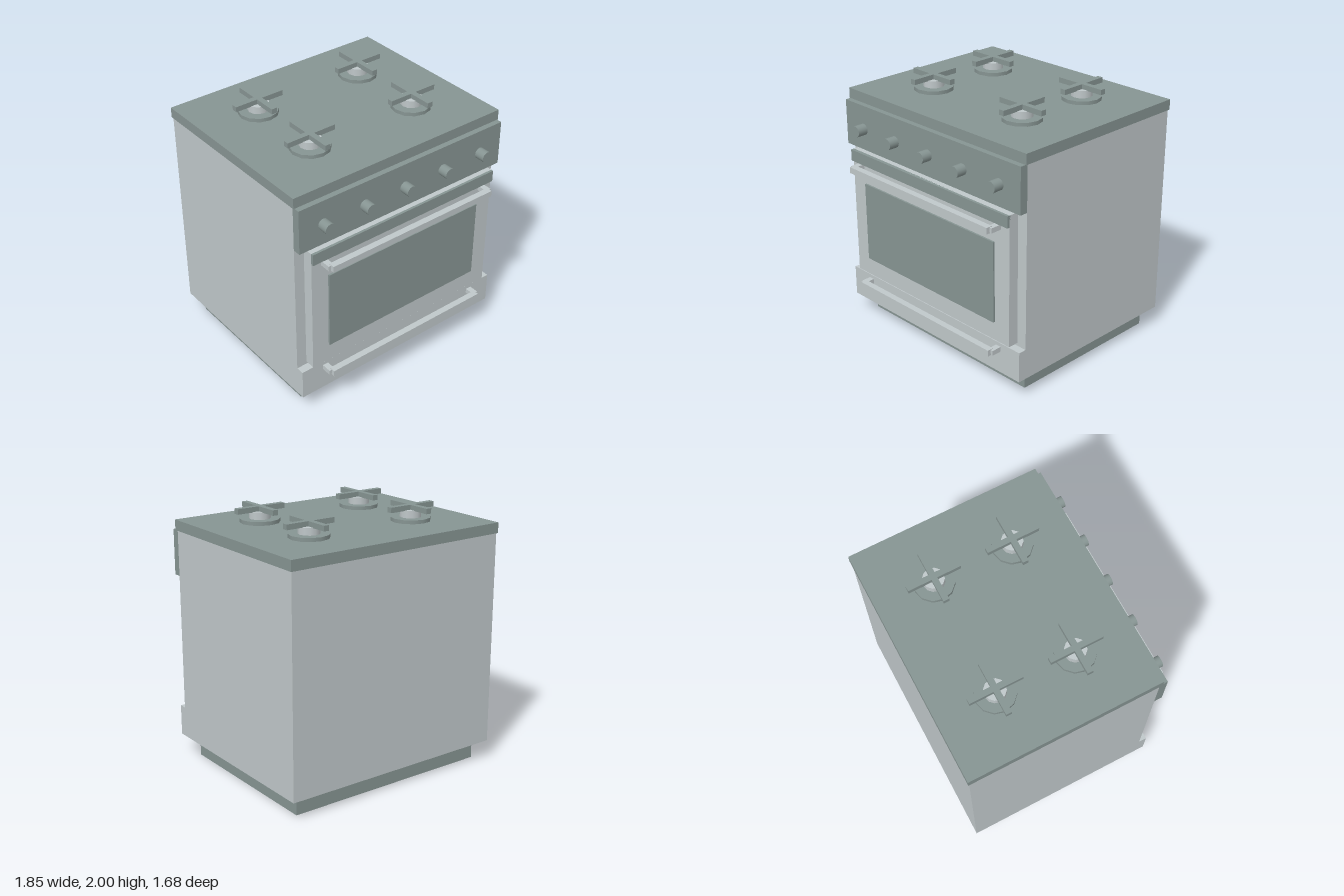
import * as THREE from 'three';

export function createModel() {
  const stove = new THREE.Group();
  stove.name = 'stove';

  const steel = new THREE.MeshStandardMaterial({ color: 0xbfc7c9 });
  steel.name = 'light steel';
  const enamel = new THREE.MeshStandardMaterial({ color: 0x869492 });
  enamel.name = 'dark enamel';

  function add(name, geometry, material, parent = stove) {
    const mesh = new THREE.Mesh(geometry, material);
    mesh.name = name;
    parent.add(mesh);
    return mesh;
  }

  // Box given by its limits on each axis
  function box(name, material, [x0, x1], [y0, y1], [z0, z1], parent) {
    const mesh = add(name, new THREE.BoxGeometry(x1 - x0, y1 - y0, z1 - z0), material, parent);
    mesh.position.set((x0 + x1) / 2, (y0 + y1) / 2, (z0 + z1) / 2);
    return mesh;
  }

  // Cabinet
  box('plinth', enamel, [-0.835, 0.835], [0, 0.15], [-0.745, 0.56]);
  box('body', steel, [-0.917, 0.917], [0.15, 1.8], [-0.83, 0.64]);
  box('cooktop', enamel, [-0.925, 0.925], [1.8, 1.88], [-0.84, 0.66]);

  // Front panels
  box('controlPanel', enamel, [-0.917, 0.917], [1.45, 1.8], [0.64, 0.703]);
  box('drawer', steel, [-0.917, 0.917], [0.15, 0.39], [0.64, 0.703]);
  box('ovenDoor', steel, [-0.835, 0.835], [0.412, 1.43], [0.64, 0.722]);
  box('ovenWindow', enamel, [-0.693, 0.693], [0.557, 1.187], [0.715, 0.736]);
  box('doorTrim', enamel, [-0.835, 0.835], [1.34, 1.43], [0.715, 0.742]);

  // Bar handle on two posts
  function handle(name, halfLength, y, backZ, frontZ) {
    const group = new THREE.Group();
    group.name = name;
    stove.add(group);
    box('bar', steel, [-halfLength, halfLength], [y - 0.024, y + 0.024], [frontZ - 0.05, frontZ], group);
    for (const side of [-1, 1]) {
      const x = side * (halfLength - 0.003);
      box('post', steel, [x - 0.023, x + 0.023], [y - 0.019, y + 0.019], [backZ, frontZ - 0.028], group);
    }
  }
  handle('doorHandle', 0.735, 1.319, 0.72, 0.838);
  handle('drawerHandle', 0.713, 0.343, 0.7, 0.81);

  // Control knobs
  for (const x of [-0.715, -0.357, 0, 0.357, 0.715]) {
    const knob = add('knob', new THREE.CylinderGeometry(0.043, 0.043, 0.085, 16), enamel);
    knob.rotation.x = Math.PI / 2;
    knob.position.set(x, 1.615, 0.742);
  }

  // Burners with cross-shaped pan supports
  for (const x of [-0.46, 0.46]) {
    for (const z of [-0.393, 0.225]) {
      const burner = new THREE.Group();
      burner.name = 'burner';
      burner.position.set(x, 0, z);
      stove.add(burner);
      add('burnerBase', new THREE.CylinderGeometry(0.15, 0.15, 0.03, 12), enamel, burner).position.y = 1.893;
      add('burnerCap', new THREE.CylinderGeometry(0.08, 0.08, 0.058, 12), steel, burner).position.y = 1.934;
      box('supportAcross', enamel, [-0.203, 0.203], [1.96, 2], [-0.022, 0.022], burner);
      // The second bar is split so that it does not overlap the first
      for (const side of [-1, 1]) {
        const [a, b] = [side * 0.022, side * 0.203].sort((p, q) => p - q);
        box('supportAlong', enamel, [-0.022, 0.022], [1.96, 2], [a, b], burner);
      }
    }
  }

  return stove;
}
